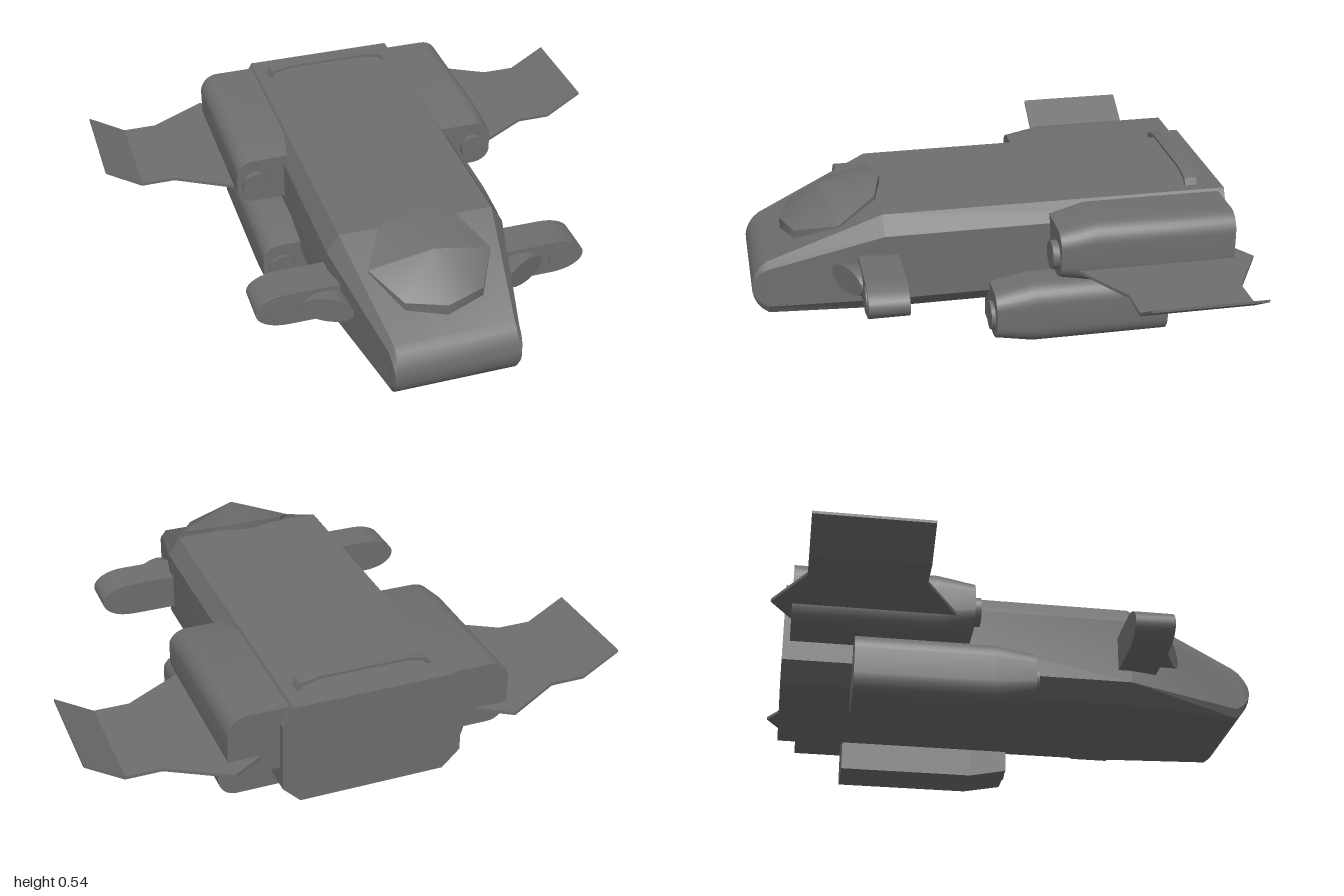
import * as THREE from 'three';
import { toCreasedNormals } from 'three/addons/utils/BufferGeometryUtils.js';

const paint = new THREE.MeshStandardMaterial({ color: 0x6e6e6e });

// Joins equal-length rings (counter-clockwise as seen from the last one) and caps both ends.
function loft(rings, apex) {
  const pos = [];
  const centre = (r) => [0, 1, 2].map((k) => r.reduce((s, p) => s + p[k], 0) / r.length);
  const first = rings[0], last = rings[rings.length - 1], n = first.length;
  const c0 = centre(first), c1 = apex || centre(last);
  for (let j = 0; j < n; j++) {
    const k = (j + 1) % n;
    for (let i = 0; i < rings.length - 1; i++) {
      const a = rings[i][j], b = rings[i][k], c = rings[i + 1][k], d = rings[i + 1][j];
      pos.push(...a, ...b, ...c, ...a, ...c, ...d);
    }
    pos.push(...c0, ...first[k], ...first[j], ...c1, ...last[j], ...last[k]);
  }
  const g = new THREE.BufferGeometry();
  g.setAttribute('position', new THREE.Float32BufferAttribute(pos, 3));
  g.computeVertexNormals();
  return g;
}

// Reflects a geometry in x and restores its winding.
function mirrorX(geometry) {
  const g = geometry.index ? geometry.toNonIndexed() : geometry;
  const p = g.attributes.position, out = [];
  for (let i = 0; i < p.count; i += 3) {
    for (const k of [i, i + 2, i + 1]) out.push(-p.getX(k), p.getY(k), p.getZ(k));
  }
  const m = new THREE.BufferGeometry();
  m.setAttribute('position', new THREE.Float32BufferAttribute(out, 3));
  m.computeVertexNormals();
  return m;
}

// Outline with a square inner edge and elliptically rounded outer corners.
function roundedSection(x0, x1, y0, y1, rx, ry, steps = 8) {
  const pts = [[x0, y0]];
  for (const [cy, start] of [[y0 + ry, -Math.PI / 2], [y1 - ry, 0]]) {
    for (let i = 0; i <= steps; i++) {
      const a = start + (i / steps) * Math.PI / 2;
      pts.push([x1 - rx + rx * Math.cos(a), cy + ry * Math.sin(a)]);
    }
  }
  pts.push([x0, y1]);
  return pts;
}

function extrude(points, depth) {
  const shape = new THREE.Shape(points.map(([x, y]) => new THREE.Vector2(x, y)));
  return new THREE.ExtrudeGeometry(shape, { depth, bevelEnabled: false });
}

function engine(x0, x1, y0, y1, zBack, zTaper, zFront) {
  const mid = (y0 + y1) / 2;
  const section = roundedSection(x0, x1, y0, y1, 0.07, 0.075);
  const ring = (z, s) => section.map(([x, y]) => [x, mid + (y - mid) * s, z]);
  return loft([ring(zBack, 1), ring(zTaper, 1), ring(zFront, 0.76)]);
}

function disc(x, y, r, z0, z1) {
  return new THREE.CylinderGeometry(r, r, z1 - z0, 24).rotateX(Math.PI / 2).translate(x, y, (z0 + z1) / 2);
}

export function createModel() {
  const model = new THREE.Group();
  const add = (name, geometry, crease = 0.6) => {
    const mesh = new THREE.Mesh(toCreasedNormals(geometry, crease), paint);
    mesh.name = name;
    model.add(mesh);
  };
  const addPair = (name, geometry) => {
    add(name + 'Left', geometry);
    add(name + 'Right', mirrorX(geometry));
  };

  // Chamfered hull: z, half width, top and bottom half widths, four heights from the bottom up
  const stations = [
    [-0.865, 0.335, 0.295, 0.27, 0.11, 0.175, 0.43, 0.5],
    [0.43, 0.335, 0.29, 0.27, 0.11, 0.175, 0.43, 0.5],
  ];
  // Rounded nose: an arc rolled from the roof line to the tip
  for (const degrees of [58, 44, 30, 17, 6]) {
    const a = THREE.MathUtils.degToRad(degrees), h = 0.123 * Math.sin(a);
    const z = 0.792 + 0.123 * Math.cos(a);
    stations.push([z, 0.23 + 0.1 * h, 0.222, 0.225, 0.21 - h, 0.21 - 0.7 * h, 0.21 + 0.75 * h, 0.21 + h]);
  }
  const hull = stations.map(([z, w, t, b, y0, y1, y2, y3]) => [
    [b, y0, z], [w, y1, z], [w, y2, z], [t, y3, z],
    [-t, y3, z], [-w, y2, z], [-w, y1, z], [-b, y0, z],
  ]);
  add('hull', loft(hull), 0.33);

  // Canopy of a front and a rear pane that meet along a cross ridge
  const rim = [
    [-0.23, 0.44, 0.585], [-0.145, 0.395, 0.745], [0, 0.385, 0.79], [0.145, 0.395, 0.745],
    [0.23, 0.44, 0.585], [0.145, 0.513, 0.44], [0, 0.533, 0.405], [-0.145, 0.513, 0.44],
  ];
  const pane = (edge) => loft([edge.map(([x, y, z]) => [x, y - 0.045, z]), edge], [0, 0.517, 0.63]);
  add('frontCanopy', pane(rim.slice(0, 5)), 0.8);
  add('rearCanopy', pane([...rim.slice(4), rim[0]]), 0.8);

  // Arched rail across the rear roof
  const arch = [[-0.253, 0.495], [-0.238, 0.525], [-0.165, 0.54], [0.165, 0.54], [0.238, 0.525], [0.253, 0.495]];
  const under = arch.map(([x, y]) => [x * 0.96, y - 0.01]).reverse();
  add('roofRail', extrude([...arch, ...under], 0.045).translate(0, 0, -0.772));

  // Engines and their front intakes
  addPair('upperEngine', engine(0.29, 0.522, 0.25, 0.49, -0.84, -0.32, -0.185));
  addPair('upperIntake', disc(0.45, 0.36, 0.053, -0.2, -0.16));
  addPair('lowerEngine', engine(0.25, 0.485, 0, 0.24, -0.61, -0.1, 0.043));
  addPair('lowerIntake', disc(0.41, 0.11, 0.053, 0.02, 0.058));

  // Thin rear wings with upturned tips
  const plan = [
    [0.33, -0.8], [0.4, -0.84], [0.52, -0.915], [0.735, -0.793], [0.865, -0.793],
    [0.865, -0.38], [0.735, -0.38], [0.52, -0.255], [0.49, -0.24], [0.33, -0.24],
  ];
  addPair('wing', extrude(plan, 0.012).rotateX(Math.PI / 2).translate(0, 0.318, 0));
  const tip = [[0.865, 0.306], [1, 0.39], [1, 0.4], [0.863, 0.318]];
  addPair('wingTip', extrude(tip, 0.413).translate(0, 0, -0.793));

  // Front stub fins with elliptical outer ends
  const fin = roundedSection(0.28, 0.627, 0.222, 0.355, 0.12, 0.066);
  addPair('fin', loft([0.38, 0.527].map((z) => fin.map(([x, y]) => [x, y, z]))));
  addPair('finLamp', disc(0.54, 0.29, 0.05, 0.51, 0.532));

  // Oval fairing in front of each fin, cut diagonally toward the hull
  const oval = (front) => Array.from({ length: 24 }, (_, i) => {
    const a = (i / 24) * Math.PI * 2;
    const x = 0.375 + 0.085 * Math.cos(a);
    return [x, 0.29 + 0.05 * Math.sin(a), front ? 0.532 + (0.46 - x) * 0.53 : 0.5];
  });
  addPair('finFairing', loft([oval(false), oval(true)]));

  return model;
}
